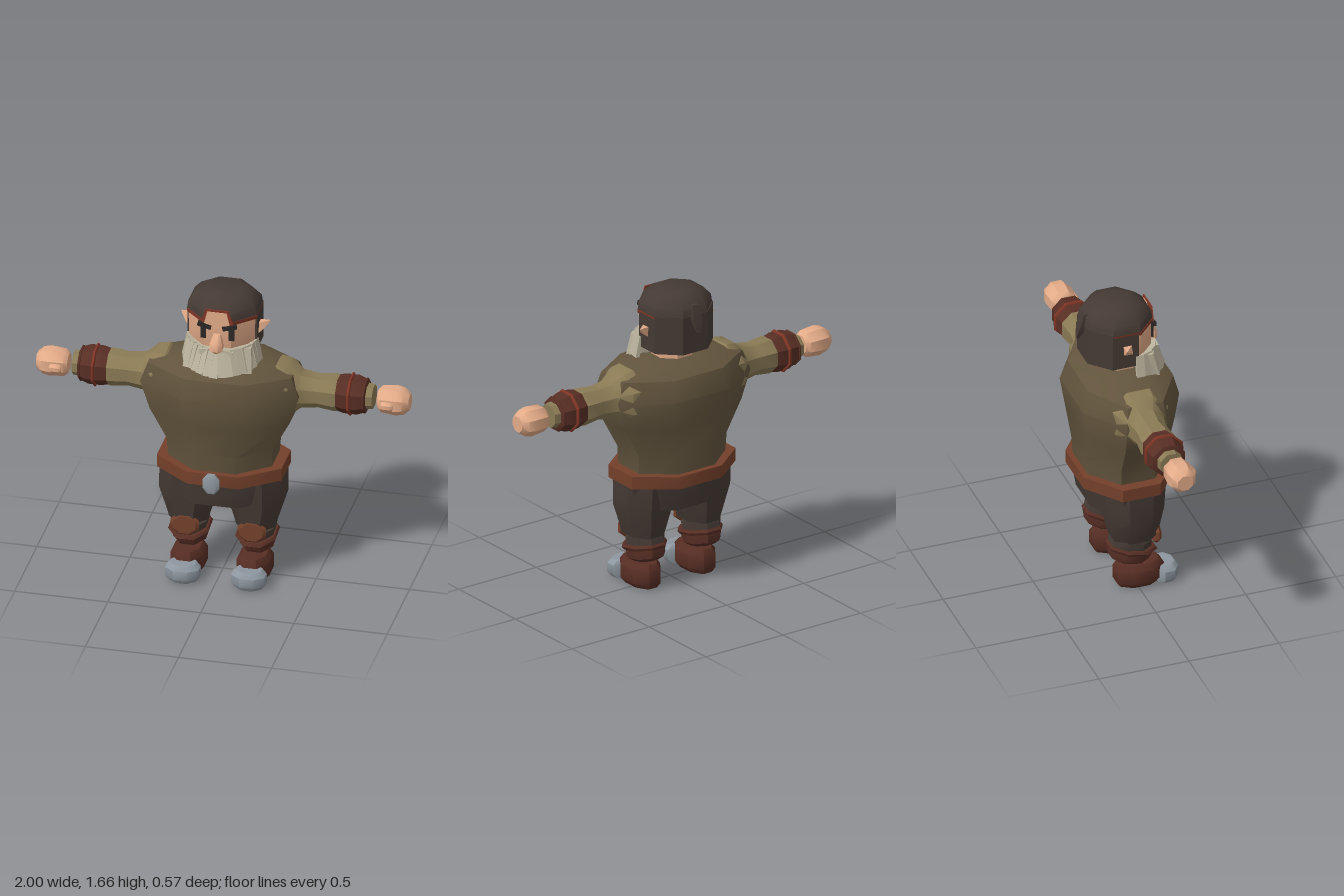
import * as THREE from 'three';
import { toCreasedNormals } from 'three/addons/utils/BufferGeometryUtils.js';

const paint = (name, color) => {
  const m = new THREE.MeshStandardMaterial({ color });
  m.name = name;
  return m;
};

// Closed solid through rings [y, halfWidth, zFront, zBack], listed bottom to top
function loft(rings, n = 8) {
  const pos = [], idx = [];
  const k = 1 / Math.cos(Math.PI / n);
  for (const [y, hx, zf, zb] of rings) {
    for (let j = 0; j < n; j++) {
      const a = (j + 0.5) * 2 * Math.PI / n;
      pos.push(Math.sin(a) * k * hx, y, (zf + zb) / 2 + Math.cos(a) * k * (zf - zb) / 2);
    }
  }
  for (let i = 0; i < rings.length - 1; i++) {
    for (let j = 0; j < n; j++) {
      const a = i * n + j, b = i * n + (j + 1) % n;
      idx.push(a, b, b + n, a, b + n, a + n);
    }
  }
  const top = (rings.length - 1) * n;
  for (let j = 1; j < n - 1; j++) idx.push(0, j + 1, j, top, top + j, top + j + 1);
  const g = new THREE.BufferGeometry();
  g.setAttribute('position', new THREE.Float32BufferAttribute(pos, 3));
  g.setIndex(idx);
  return toCreasedNormals(g, 0.7);
}

// Round loft from [y, radius] pairs
const round = (pairs, n = 8) => loft(pairs.map(([y, r]) => [y, r, r, -r]), n);

// Flat plate cut from an outline in the xy plane
function plate(points, depth) {
  const shape = new THREE.Shape(points.map(([x, y]) => new THREE.Vector2(x, y)));
  return new THREE.ExtrudeGeometry(shape, { depth, bevelEnabled: false });
}

export function createModel() {
  const vest = paint('vest brown', 0x62543d);
  const sleeve = paint('sleeve olive', 0x8a7a55);
  const dark = paint('dark umber', 0x453a34);
  const belt = paint('belt leather', 0x74402a);
  const leather = paint('boot leather', 0x572e24);
  const skin = paint('skin', 0xe3ab88);
  const hairGrey = paint('beard grey', 0xbcb49e);
  const metal = paint('metal', 0x8d979f);
  const red = paint('trim red', 0x823626);
  const black = paint('brow black', 0x2c2827);

  const model = new THREE.Group();
  model.name = 'dwarf';
  const add = (name, geo, mat, parent = model, x = 0, y = 0, z = 0) => {
    const m = new THREE.Mesh(geo, mat);
    m.name = name;
    m.position.set(x, y, z);
    parent.add(m);
    return m;
  };
  const group = (name, x = 0, y = 0, z = 0) => {
    const g = new THREE.Group();
    g.name = name;
    g.position.set(x, y, z);
    model.add(g);
    return g;
  };

  // Body
  add('torso', loft([
    [0.62, 0.275, 0.2, -0.235], [0.78, 0.285, 0.21, -0.245], [0.95, 0.375, 0.23, -0.265],
    [1.11, 0.425, 0.248, -0.288], [1.22, 0.385, 0.22, -0.25], [1.28, 0.22, 0.13, -0.14],
  ]), vest);
  add('belt', loft([[0.61, 0.335, 0.235, -0.27], [0.68, 0.335, 0.235, -0.27]]), belt);
  const buckle = round([[-0.013, 0.04], [-0.006, 0.05], [0.006, 0.05], [0.013, 0.04]]);
  add('buckle', buckle.scale(0.9, 1, 1.15).rotateX(Math.PI / 2), metal, model, 0, 0.645, 0.272);
  add('pelvis', loft([[0.47, 0.28, 0.19, -0.22], [0.62, 0.325, 0.205, -0.24]]), dark);

  // Head
  const head = group('head');
  add('neck', loft([[1.25, 0.11, 0.08, -0.13], [1.36, 0.11, 0.08, -0.13]]), skin, head);
  add('collar', loft([[1.31, 0.1, 0.05, -0.16], [1.345, 0.11, 0.05, -0.165]]), red, head);
  add('face', loft([[1.33, 0.14, 0.11, -0.16], [1.38, 0.175, 0.13, -0.2], [1.55, 0.178, 0.131, -0.2]]), skin, head);
  add('hairTop', loft([
    [1.54, 0.187, 0.135, -0.225], [1.59, 0.18, 0.13, -0.215],
    [1.635, 0.14, 0.085, -0.175], [1.66, 0.085, 0.035, -0.13],
  ]), dark, head);
  add('hairTrim', loft([[1.523, 0.186, 0.136, -0.222], [1.543, 0.188, 0.138, -0.222]]), red, head);
  const half = [[0.187, -0.02], [0.187, 0.125], [0.08, 0.226]];
  const outline = [...half, ...half.map(([x, y]) => [-x, y]).reverse()];
  add('hairBack', plate(outline, 0.21).rotateX(-Math.PI / 2), dark, head, 0, 1.34, 0);
  const spike = loft([[-0.075, 0.008, 0.005, -0.012], [0.0, 0.03, 0.04, 0], [0.07, 0.02, 0.045, 0.025]], 4);
  add('hairTuft', spike, dark, head, 0, 1.535, -0.25);
  // Forehead under the parted fringe
  add('foreheadTrim', plate([[-0.09, 1.525], [0.09, 1.525], [0.062, 1.607], [-0.062, 1.607]], 0.006), red, head, 0, 0, 0.134);
  add('forehead', plate([[-0.075, 1.5], [0.075, 1.5], [0.052, 1.595], [-0.052, 1.595]], 0.009), skin, head, 0, 0, 0.134);
  const nose = loft([[1.36, 0.018, 0.165, 0.12], [1.38, 0.036, 0.185, 0.12], [1.42, 0.033, 0.185, 0.12], [1.465, 0.018, 0.15, 0.12]]);
  add('nose', nose, skin, head);

  for (const s of [1, -1]) {
    const brow = add('eyebrow', new THREE.BoxGeometry(0.075, 0.025, 0.02), black, head, s * 0.067, 1.512, 0.138);
    brow.rotation.z = s * 0.25;
    add('eye', new THREE.BoxGeometry(0.03, 0.075, 0.009), black, head, s * 0.075, 1.47, 0.131);
    const ear = loft([[0, 0.03, 0.025, -0.025], [0.03, 0.022, 0.015, -0.03], [0.075, 0.002, -0.026, -0.03]], 4);
    const e = add('ear', ear, skin, head, s * 0.17, 1.44, -0.035);
    e.rotation.z = -s * 1.15;
  }

  // Beard of overlapping locks
  const beard = group('beard');
  add('beardCore', loft([[1.25, 0.185, 0.185, 0.02], [1.385, 0.175, 0.148, 0.0]]), hairGrey, beard);
  const locks = 17;
  for (let i = 0; i < locks; i++) {
    const t = (i / (locks - 1)) * 2 - 1;
    const a = t * 1.45;
    const len = 0.15 - 0.025 * Math.abs(t);
    const lock = new THREE.BoxGeometry(0.045, len, 0.022);
    lock.rotateX(-0.38 + 0.18 * Math.abs(t)).rotateY(a + (i % 2 ? 0.1 : -0.1));
    add('beardLock', lock, hairGrey, beard,
      Math.sin(a) * 0.19, 1.31 + 0.025 * Math.abs(t), Math.cos(a) * 0.175 + 0.005);
  }
  for (const s of [1, -1]) {
    const m = add('moustache', new THREE.BoxGeometry(0.08, 0.03, 0.03), hairGrey, beard, s * 0.05, 1.37, 0.15);
    m.rotation.z = -s * 0.15;
  }

  for (const s of [1, -1]) {
    const side = s > 0 ? 'left' : 'right';

    // Arm, built upright and laid out sideways
    const arm = group(side + 'Arm', 0, 1.11, -0.025);
    arm.rotation.z = -s * Math.PI / 2;
    add('sleeve', round([[0.24, 0.11], [0.3, 0.152], [0.36, 0.143], [0.42, 0.095],
      [0.51, 0.083], [0.6, 0.093], [0.63, 0.085]]), sleeve, arm);
    add('bracer', round([[0.61, 0.088], [0.65, 0.097], [0.72, 0.097], [0.77, 0.08]]), leather, arm);
    for (const [x, r] of [[0.615, 0.089], [0.685, 0.106], [0.762, 0.088]]) {
      add('bracerStrap', round([[x - 0.009, r - 0.008], [x - 0.004, r], [x + 0.004, r], [x + 0.009, r - 0.008]]), r > 0.1 ? red : leather, arm);
    }
    add('cuff', round([[0.76, 0.066], [0.805, 0.06]]), sleeve, arm);
    const hand = group(side + 'Hand', 0, 1.107, -0.018);
    const fist = add('fist', round([[0.83, 0.05], [0.85, 0.067], [0.93, 0.074], [0.97, 0.066], [1, 0.042]]), skin, hand);
    fist.rotation.z = -s * Math.PI / 2;
    const thumb = add('thumb', round([[-0.032, 0.018], [-0.022, 0.025], [0.022, 0.025], [0.032, 0.018]]), skin, hand, s * 0.89, -0.005, 0.065);
    thumb.rotation.z = Math.PI / 2;

    // Leg and boot
    const leg = group(side + 'Leg', s * 0.18);
    add('thigh', loft([[0.3, 0.1, 0.115, -0.13], [0.35, 0.115, 0.12, -0.145],
      [0.47, 0.152, 0.14, -0.17], [0.62, 0.15, 0.15, -0.18]]), dark, leg);
    const calf = add('calf', loft([[-0.03, 0.088, 0.11, -0.115], [0.035, 0.095, 0.1, -0.115], [0.075, 0.085, 0.02, -0.11]]), dark, leg, 0, 0.25, -0.025);
    calf.rotation.x = 0.2;
    const pad = round([[-0.015, 0.07], [0, 0.076], [0.015, 0.06]]);
    add('kneePad', pad.scale(1, 1, 0.82).rotateX(Math.PI / 2), belt, leg, 0, 0.298, 0.11);
    const shaft = add('bootShaft', loft([[-0.075, 0.06, 0.06, -0.07], [-0.055, 0.088, 0.1, -0.105],
      [-0.01, 0.095, 0.115, -0.12], [0.01, 0.095, 0.115, -0.12]]), leather, leg, 0, 0.225, -0.025);
    shaft.rotation.x = 0.2;
    const cuff = add('bootCuff', loft([[-0.014, 0.1, 0.12, -0.122], [0, 0.108, 0.134, -0.13], [0.014, 0.1, 0.12, -0.122]]), leather, leg, 0, 0.232, -0.022);
    cuff.rotation.x = 0.2;
    add('foot', loft([[0, 0.065, 0.125, -0.09], [0.03, 0.088, 0.15, -0.11],
      [0.105, 0.088, 0.15, -0.11], [0.137, 0.065, 0.125, -0.09]]), leather, leg, -s * 0.003);
    add('toeCap', loft([[0, 0.07, 0.215, 0.1], [0.025, 0.09, 0.23, 0.1],
      [0.075, 0.09, 0.23, 0.1], [0.1, 0.065, 0.21, 0.1]]), metal, leg, -s * 0.003);
  }
  return model;
}
